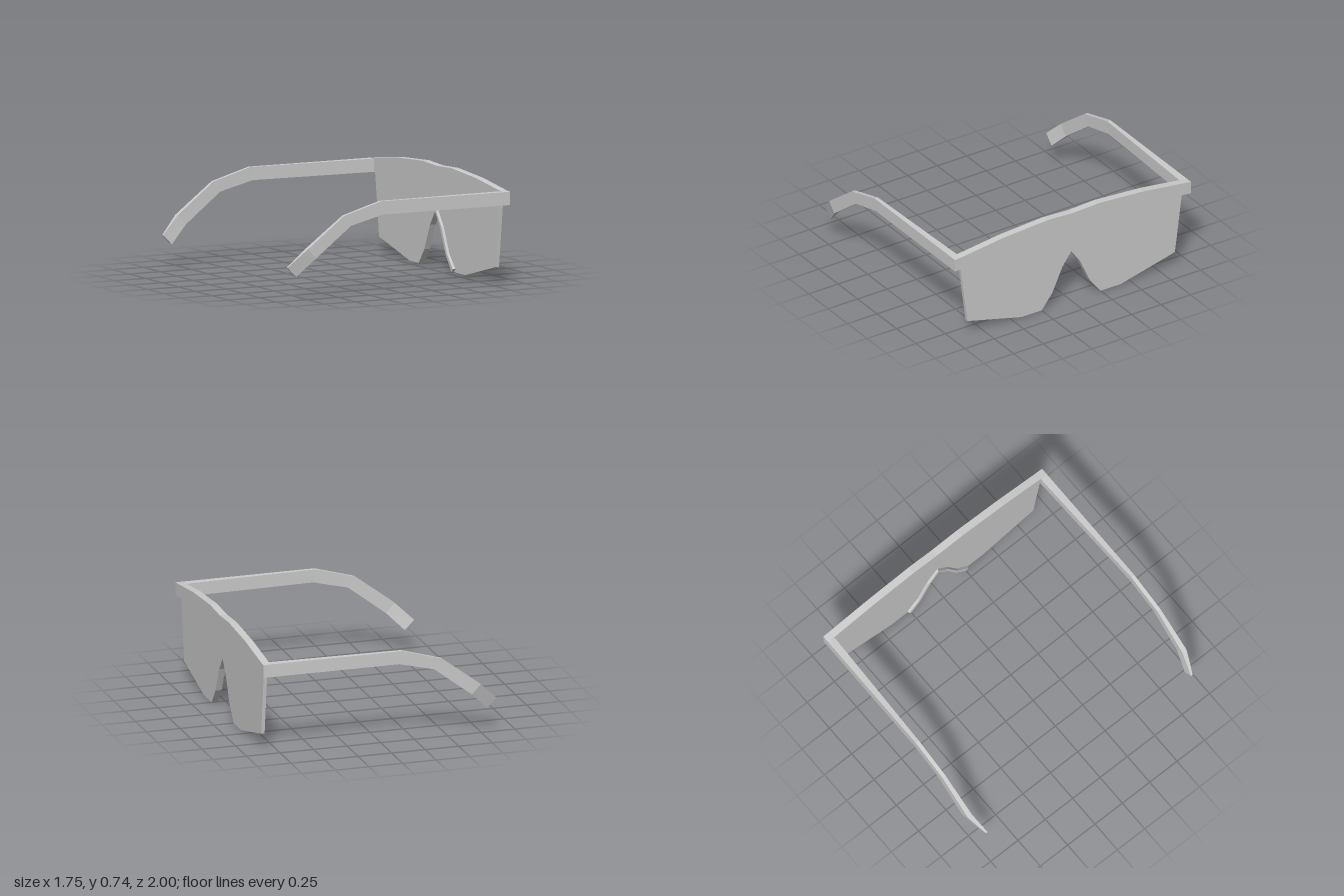
import * as THREE from 'three';

const material = new THREE.MeshStandardMaterial({ color: 0xcccccc, flatShading: true });

// Half outlines as [distance from the middle, height]
const browTop = [[0, 0.73], [0.22, 0.74], [0.6, 0.715], [0.94, 0.671], [1, 0.665]];
const browBottom = [[1, 0.57], [0.94, 0.575], [0.6, 0.62], [0.22, 0.643], [0, 0.635]];
const lensTop = [[0, 0.65], [0.22, 0.658], [0.6, 0.635], [0.94, 0.575]];
const lensSide = [[0.88, 0.115], [0.42, 0], [0.25, 0]];
const notch = [[0.16, 0.115], [0.075, 0.3], [0, 0.405]];
const padOuter = [[0, 0.432], [0.092, 0.313], [0.18, 0.125], [0.27, 0.025]];

// Mirrors a half outline and extrudes it from x0 to x1
function plate(name, half, x0, x1) {
  const mirrored = half.slice(1, -1).reverse().map(([s, y]) => [-s, y]);
  const points = [...half, ...mirrored].map(([s, y]) => new THREE.Vector2(s, y));
  const geometry = new THREE.ExtrudeGeometry(new THREE.Shape(points), { depth: x1 - x0, bevelEnabled: false });
  geometry.rotateY(Math.PI / 2).translate(x0, 0, 0);
  const mesh = new THREE.Mesh(geometry, material);
  mesh.name = name;
  return mesh;
}

// Temple stations: top x, top y, bottom x, bottom y, outer z, inner z
const stations = [
  [0.83, 0.665, 0.83, 0.57, 1, 0.943],
  [-0.16, 0.665, -0.14, 0.57, 1, 0.972],
  [-0.455, 0.58, -0.4, 0.505, 1, 0.972],
  [-0.745, 0.36, -0.68, 0.29, 1, 0.963],
  [-0.88, 0.23, -0.81, 0.16, 0.945, 0.93],
];

// Lofts a four-sided bar through the stations; side is +1 or -1 along z
function temple(name, side) {
  const positions = [];
  const index = [];
  const quad = (a, b, c, d) => index.push(...(side > 0 ? [a, b, c, a, c, d] : [a, c, b, a, d, c]));
  stations.forEach(([xt, yt, xb, yb, outer, inner], i) => {
    positions.push(xt, yt, side * outer, xb, yb, side * outer, xb, yb, side * inner, xt, yt, side * inner);
    if (i === 0) return;
    const p = (i - 1) * 4;
    const q = i * 4;
    for (let k = 0; k < 4; k++) {
      const n = (k + 1) % 4;
      quad(p + k, q + k, q + n, p + n);
    }
  });
  const e = (stations.length - 1) * 4;
  quad(0, 1, 2, 3);
  quad(e + 3, e + 2, e + 1, e);
  const indexed = new THREE.BufferGeometry();
  indexed.setAttribute('position', new THREE.Float32BufferAttribute(positions, 3));
  indexed.setIndex(index);
  const geometry = indexed.toNonIndexed();
  geometry.computeVertexNormals();
  const mesh = new THREE.Mesh(geometry, material);
  mesh.name = name;
  return mesh;
}

export function createModel() {
  const group = new THREE.Group();
  group.name = 'safetyGlasses';

  // Brow bar and one-piece lens
  group.add(plate('browBar', [...browTop, ...browBottom], 0.82, 0.875));
  group.add(plate('lens', [...lensTop, ...lensSide, ...notch], 0.826, 0.852));

  // Nose pad behind the lens, following the notch
  group.add(plate('nosePad', [...padOuter, [0.25, 0], ...notch], 0.806, 0.826));

  // Temples hooking down behind the ears
  group.add(temple('templePositiveZ', 1), temple('templeNegativeZ', -1));
  return group;
}
